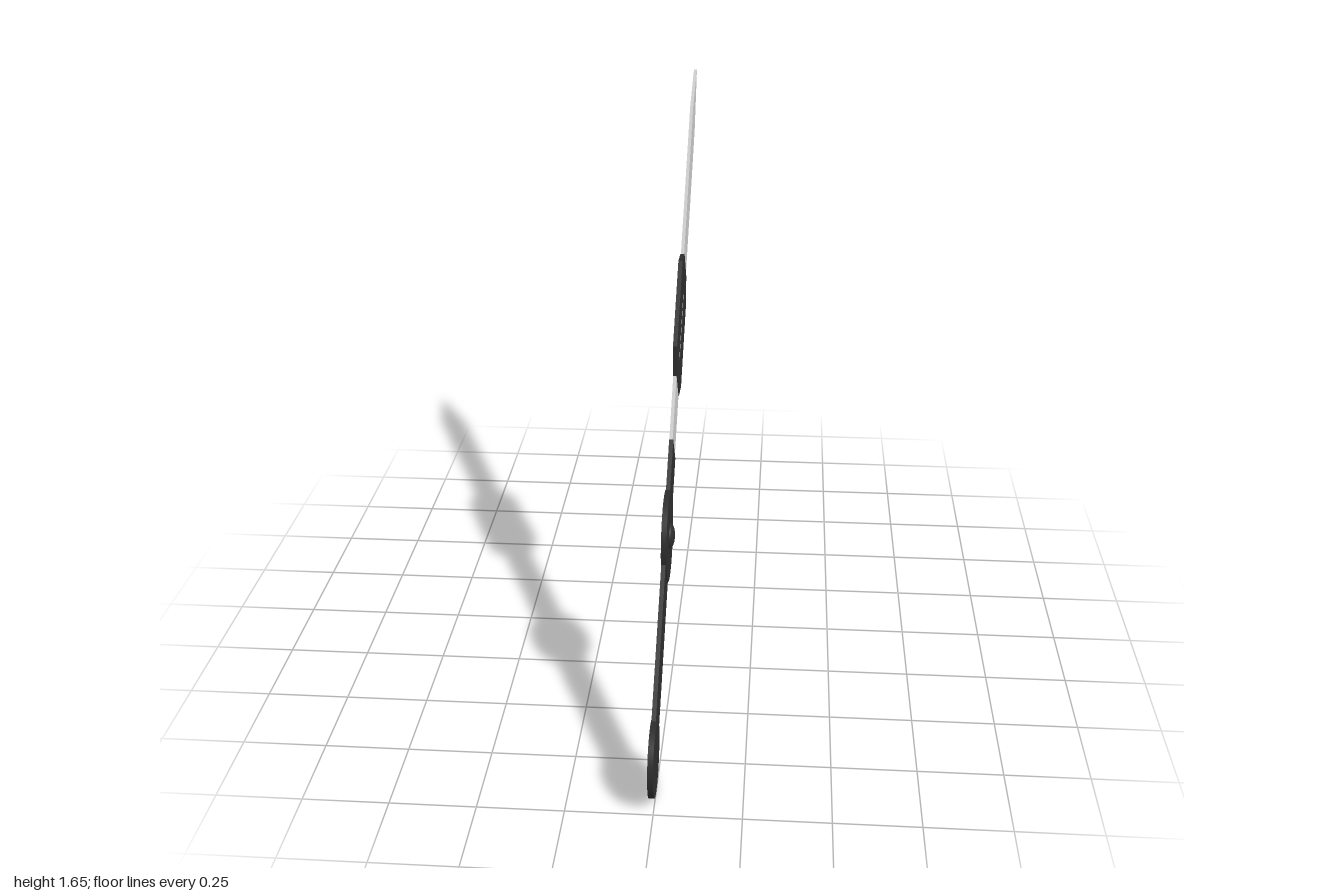
import * as THREE from 'three';

const darkGrip = new THREE.MeshStandardMaterial({ color: 0x2d2d2d });
darkGrip.name = 'dark grip';
const paleBlade = new THREE.MeshStandardMaterial({ color: 0xcacaca });
paleBlade.name = 'pale blade';

const toPoints = (list) => list.map(([u, v]) => new THREE.Vector2(u, v));

// Long octagon with cut corners, running from u0 to u1
const octagon = (u0, u1, half, cutU, cutV) => toPoints([
  [u0, -half + cutV], [u0 + cutU, -half], [u1 - cutU, -half], [u1, -half + cutV],
  [u1, half - cutV], [u1 - cutU, half], [u0 + cutU, half], [u0, half - cutV],
]);

// Flat plate cut from an outline, spanning z0 to z1
function plate(name, points, z0, z1, material, hole) {
  const shape = new THREE.Shape(points);
  if (hole) shape.holes.push(new THREE.Path(hole));
  const geometry = new THREE.ExtrudeGeometry(shape, { depth: z1 - z0, bevelEnabled: false });
  geometry.translate(0, 0, z0);
  const mesh = new THREE.Mesh(geometry, material);
  mesh.name = name;
  return mesh;
}

// Round plate at distance u along the sword
function disc(name, u, radius, z0, z1) {
  const geometry = new THREE.CylinderGeometry(radius, radius, z1 - z0, 40);
  geometry.rotateX(Math.PI / 2);
  geometry.translate(u, 0, (z0 + z1) / 2);
  const mesh = new THREE.Mesh(geometry, darkGrip);
  mesh.name = name;
  return mesh;
}

export function createModel() {
  // The sword is laid out along u from the pommel centre, then tilted upward
  const sword = new THREE.Group();
  sword.name = 'sword';
  const guardU = 0.677;

  // Blade with a pointed tip, running on through the collar
  sword.add(plate('blade', toPoints([
    [0.965, -0.067], [2.224, -0.067], [2.433, 0.002], [2.224, 0.069], [0.965, 0.069],
  ]), -0.0145, -0.004, paleBlade));

  // Handle
  sword.add(plate('handle', toPoints([
    [0, -0.068], [0.965, -0.068], [0.965, 0.069], [0, 0.069],
  ]), -0.0148, -0.002, darkGrip));

  // Octagonal collar with a slot that shows the blade
  sword.add(plate('collar', octagon(1.185, 1.632, 0.137, 0.068, 0.068),
    -0.016, -0.0025, darkGrip, octagon(1.275, 1.548, 0.017, 0.014, 0.011).reverse()));

  // Round pommel and guard
  sword.add(disc('pommel', 0, 0.111, -0.016, 0.0005));
  sword.add(disc('guard', guardU, 0.139, -0.016, 0.0005));

  // Domed button on the guard
  const dome = new THREE.SphereGeometry(0.039, 28, 10, 0, Math.PI * 2, 0, Math.PI / 2);
  dome.rotateX(Math.PI / 2);
  dome.scale(1, 1, 0.4);
  dome.translate(guardU, 0, 0.0004);
  const button = new THREE.Mesh(dome, darkGrip);
  button.name = 'guardButton';
  sword.add(button);

  sword.rotation.z = THREE.MathUtils.degToRad(39.3);

  // Turn the tip toward the back
  const model = new THREE.Group();
  model.name = 'swordModel';
  const turned = new THREE.Group();
  turned.name = 'turnedSword';
  turned.add(sword);
  turned.rotation.y = Math.PI / 2;
  turned.position.set(0, 0.112, 0.889);
  model.add(turned);
  return model;
}
